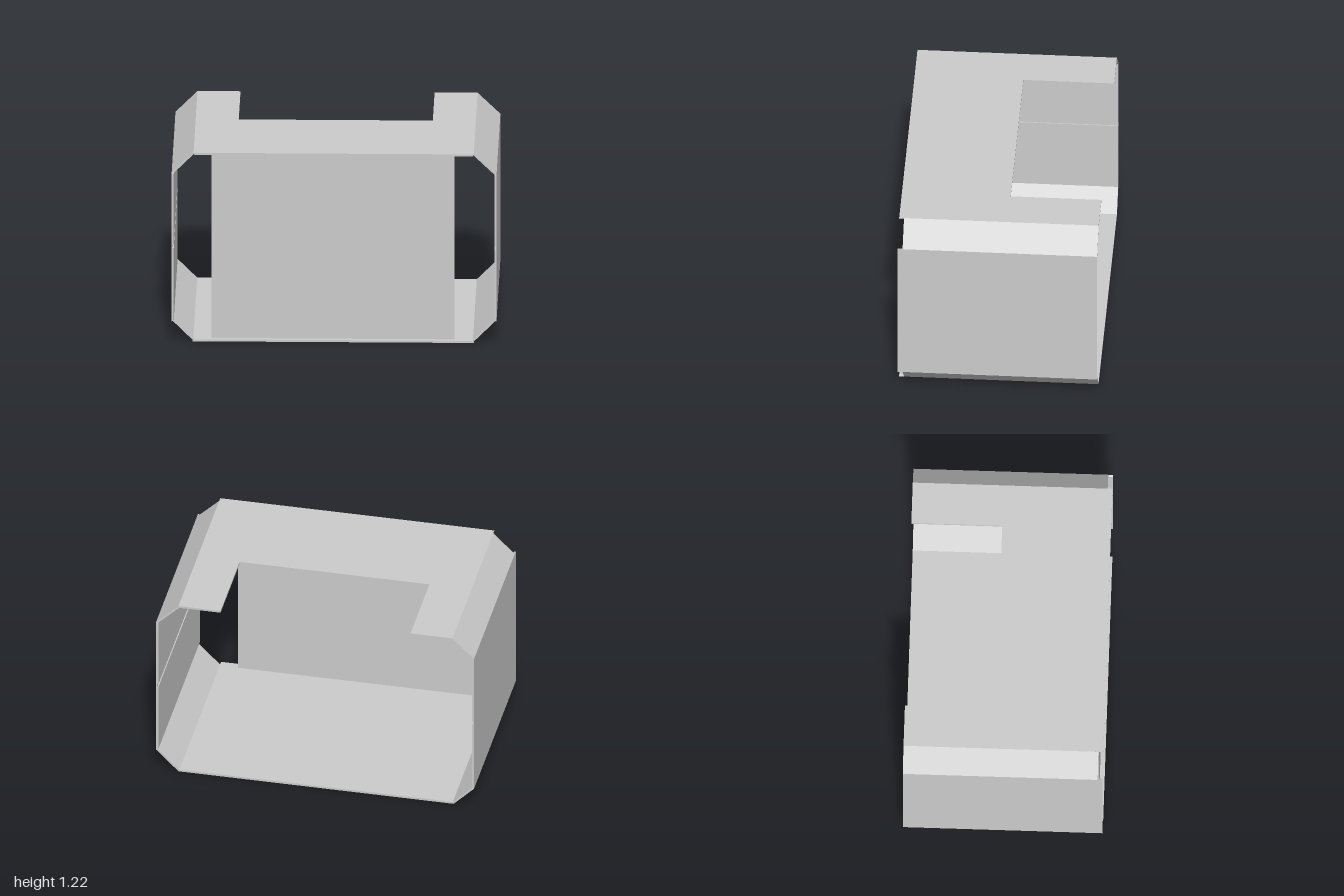
import * as THREE from 'three';

const T = 0.013;            // sheet thickness
const M = T * 0.414;        // mitre shift at the 45 degree bends
const BACK = -0.615, FRONT = 0.615, SHORT = 0.585;
const H = 1.22;

export function createModel() {
  const group = new THREE.Group();
  group.name = 'foldedHousing';
  const material = new THREE.MeshStandardMaterial({ color: 0xcccccc, flatShading: true, side: THREE.DoubleSide });

  const add = (name, geometry) => {
    const mesh = new THREE.Mesh(geometry, material);
    mesh.name = name;
    group.add(mesh);
  };
  const outline = (points) => new THREE.Shape(points.map(([x, y]) => new THREE.Vector2(x, y)));

  // Sheet with an xy cross-section running from the back to zEnd
  const sheet = (name, points, zEnd) => {
    const g = new THREE.ExtrudeGeometry(outline(points), { depth: zEnd - BACK, bevelEnabled: false });
    add(name, g.translate(0, 0, BACK));
  };

  // Bend lines of each side: bottom x, lower wall y, upper wall y, top x
  const sides = [
    { name: 'left', s: 1, bx: 0.86, y0: 0.14, y1: 1.085, tx: 0.86 },
    { name: 'right', s: -1, bx: 0.872, y0: 0.128, y1: 1.085, tx: 0.865 },
  ];
  for (const { name, s, bx, y0, y1, tx } of sides) {
    const on = (points) => points.map(([x, y]) => [s * x, y]);
    // Side wall with a shallow groove along its inner face
    sheet(name + 'Wall', on([
      [1, y0], [1, y1], [1 - T, y1 - M],
      [1 - T, 0.625], [1 - T / 2, 0.625], [1 - T / 2, 0.602], [1 - T, 0.602],
      [1 - T, y0 + M],
    ]), FRONT);
    // Sloping corner strips, a little shorter at the front
    sheet(name + 'LowerCorner', on([[bx, 0], [1, y0], [1 - T, y0 + M], [bx - M, T]]), SHORT);
    sheet(name + 'UpperCorner', on([[1, y1], [tx, H], [tx - M, H - T], [1 - T, y1 - M]]), SHORT);
  }

  // Floor
  sheet('floor', [[-0.872, 0], [0.86, 0], [0.86 - M, T], [-0.872 + M, T]], FRONT);

  // Roof, cut out at the back; its underside edges are mitred
  const roof = new THREE.ExtrudeGeometry(outline([
    [-0.865, -FRONT], [0.86, -FRONT], [0.86, -BACK], [0.595, -BACK],
    [0.595, 0.055], [-0.6, 0.055], [-0.6, -BACK], [-0.865, -BACK],
  ]), { depth: T, bevelEnabled: false });
  roof.rotateX(-Math.PI / 2).translate(0, H - T, 0);
  const p = roof.attributes.position;
  for (let i = 0; i < p.count; i++) {
    const x = p.getX(i);
    if (Math.abs(x) > 0.8 && p.getY(i) < H - T / 2) p.setX(i, x - Math.sign(x) * M);
  }
  roof.computeVertexNormals();
  add('roof', roof);

  // Front panel, set slightly behind the front edges
  add('frontPanel', new THREE.BoxGeometry(1.495, H - 2 * T, T).translate(-0.0075, H / 2, SHORT - T / 2));

  return group;
}
